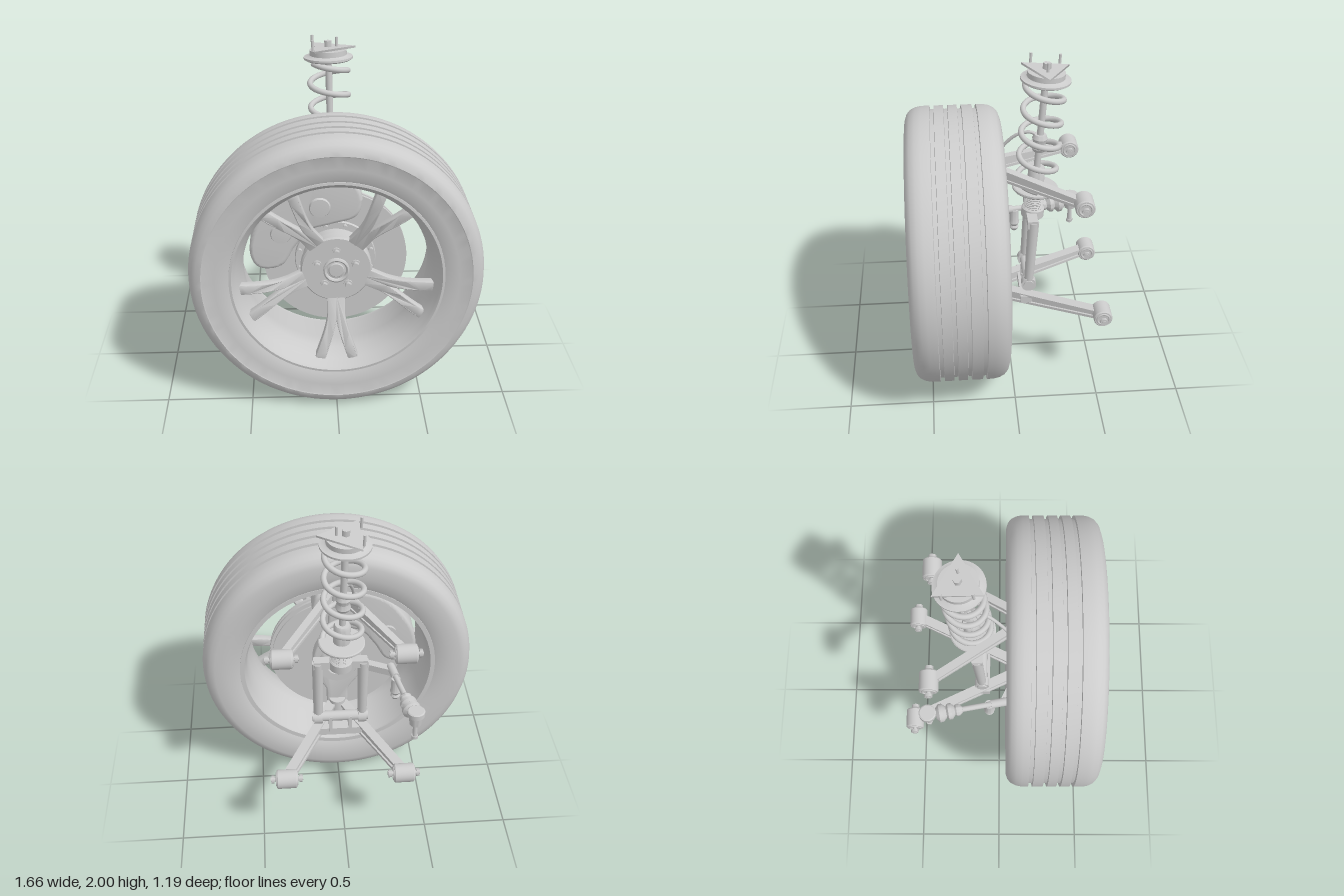
import * as THREE from 'three';
import { toCreasedNormals } from 'three/addons/utils/BufferGeometryUtils.js';

const V = (x, y, z) => new THREE.Vector3(x, y, z);
const UP = V(0, 1, 0);
const AXLE = 0.83;

export function createModel() {
  const root = new THREE.Group();
  const mat = new THREE.MeshStandardMaterial({ color: 0xcccccc });

  const add = (parent, name, geo, x = 0, y = 0, z = 0) => {
    const m = new THREE.Mesh(geo, mat);
    m.name = name;
    m.position.set(x, y, z);
    parent.add(m);
    return m;
  };
  const group = (name, parent = root) => {
    const g = new THREE.Group();
    g.name = name;
    parent.add(g);
    return g;
  };
  // Turned part about y; profile is [radius, height] pairs, outside going up
  const turned = (pts, seg = 32) =>
    toCreasedNormals(new THREE.LatheGeometry(pts.map(p => new THREE.Vector2(...p)), seg), 0.6);
  const turnedZ = (pts, seg) => turned(pts, seg).rotateX(Math.PI / 2);
  const cyl = (r, h, seg = 24, r2 = r) => new THREE.CylinderGeometry(r2, r, h, seg);
  const cylZ = (r, h, seg) => cyl(r, h, seg).rotateX(Math.PI / 2);
  const cylX = (r, h, seg) => cyl(r, h, seg).rotateZ(Math.PI / 2);
  // Round bar from a to b
  const rod = (parent, name, a, b, r, r2 = r) => {
    const d = b.clone().sub(a);
    const m = add(parent, name, cyl(r, d.length(), 20, r2), ...a.clone().lerp(b, 0.5));
    m.quaternion.setFromUnitVectors(UP, d.normalize());
    return m;
  };
  // Square bar from a to b
  const beam = (parent, name, a, b, w, h) => {
    const m = add(parent, name, new THREE.BoxGeometry(w, h, a.distanceTo(b)), ...a.clone().lerp(b, 0.5));
    m.lookAt(b);
    return m;
  };
  const outline = pts => {
    const s = new THREE.Shape();
    const v = pts.map(p => new THREE.Vector2(...p));
    s.moveTo(v[0].x, v[0].y);
    s.splineThru([...v.slice(1), v[0]]);
    return s;
  };
  const slab = (shape, depth, bevel) => toCreasedNormals(new THREE.ExtrudeGeometry(shape, {
    depth: depth - 2 * bevel, bevelSize: bevel, bevelThickness: bevel, bevelSegments: 3, curveSegments: 8,
  }), 0.6);

  // ---- Wheel ----
  const wheel = group('wheel');
  wheel.position.y = AXLE;
  const tread = [];
  for (const z of [0.187, 0.275, 0.355, 0.435])
    tread.push([0.83, z - 0.013], [0.808, z - 0.011], [0.808, z + 0.011], [0.83, z + 0.013]);
  add(wheel, 'tyre', turnedZ([
    [0.585, 0.07], [0.62, 0.052], [0.68, 0.042], [0.755, 0.04], [0.785, 0.05], [0.808, 0.07], [0.823, 0.1],
    [0.83, 0.135], ...tread, [0.83, 0.5], [0.823, 0.535], [0.808, 0.565], [0.785, 0.585], [0.755, 0.595],
    [0.75, 0.592], [0.68, 0.592], [0.62, 0.582], [0.585, 0.565], [0.585, 0.07]], 112));
  add(wheel, 'rimBarrel', turnedZ([
    [0.575, 0.058], [0.602, 0.058], [0.605, 0.075], [0.588, 0.09], [0.588, 0.54], [0.605, 0.555], [0.602, 0.578],
    [0.588, 0.58], [0.575, 0.565], [0.565, 0.54], [0.548, 0.52], [0.53, 0.42], [0.53, 0.33],
    [0.555, 0.27], [0.56, 0.11], [0.575, 0.075], [0.575, 0.058]], 96));

  // Five forked spokes, dished towards the hub
  const spokes = group('spokes', wheel);
  for (let i = 0; i < 5; i++) {
    for (const s of [-1, 1]) {
      const prong = new THREE.Shape();
      prong.moveTo(0.16, 0);
      prong.lineTo(0.28, 0);
      prong.bezierCurveTo(0.36, s * 0.008, 0.44, s * 0.04, 0.56, s * 0.075);
      prong.lineTo(0.55, s * 0.122);
      prong.bezierCurveTo(0.45, s * 0.095, 0.38, s * 0.055, 0.28, s * 0.044);
      prong.lineTo(0.16, s * 0.046);
      const geo = new THREE.ExtrudeGeometry(prong, {
        depth: 0.035, bevelSize: 0.006, bevelThickness: 0.008, bevelSegments: 2, curveSegments: 12,
      });
      const p = geo.attributes.position;
      for (let k = 0; k < p.count; k++) {
        const t = THREE.MathUtils.clamp((Math.hypot(p.getX(k), p.getY(k)) - 0.2) / 0.35, 0, 1);
        p.setZ(k, p.getZ(k) + 0.39 + 0.09 * Math.sin(t * Math.PI / 2));
      }
      geo.computeVertexNormals();
      add(spokes, 'spokeProng', toCreasedNormals(geo, 0.6)).rotation.z = (-90 + i * 72) * Math.PI / 180;
    }
  }

  // Hub, lug nuts and centre cap
  const hub = group('hub', wheel);
  add(hub, 'hubFace', turnedZ([[0, 0.37], [0.195, 0.37], [0.203, 0.38], [0.203, 0.43], [0.195, 0.44], [0, 0.44]], 48));
  add(hub, 'centreCap', turnedZ([[0.075, 0.43], [0.075, 0.455], [0.066, 0.46], [0.058, 0.455], [0.055, 0.444], [0.045, 0.446], [0.04, 0.452], [0, 0.453]], 40));
  for (let i = 0; i < 5; i++) {
    const a = Math.PI / 2 + i * Math.PI * 0.4;
    const x = 0.115 * Math.cos(a), y = 0.115 * Math.sin(a);
    add(hub, 'lugSeat', cylZ(0.026, 0.012), x, y, 0.443);
    add(hub, 'lugNut', cylZ(0.02, 0.035, 6), x, y, 0.455);
  }

  // ---- Brake ----
  const brake = group('brake', wheel);
  add(brake, 'brakeDisc', turnedZ([
    [0.2, 0.235], [0.415, 0.235], [0.415, 0.252], [0.4, 0.254], [0.4, 0.268], [0.415, 0.27], [0.415, 0.287],
    [0.235, 0.287], [0.23, 0.3], [0.19, 0.3], [0.19, 0.375], [0, 0.375]], 80));
  add(brake, 'splashShield', cylZ(0.4, 0.012, 64), 0, 0, 0.215);
  for (let i = 0; i < 12; i++) {
    const a = (i + 0.5) * Math.PI / 6;
    add(brake, 'discBolt', cylZ(0.013, 0.03, 10), 0.213 * Math.cos(a), 0.213 * Math.sin(a), 0.307);
  }
  const caliperShape = outline([[0.13, 0.4], [0.1, 0.47], [0, 0.485], [-0.16, 0.475], [-0.29, 0.42], [-0.38, 0.32],
    [-0.45, 0.2], [-0.47, 0.08], [-0.43, 0.0], [-0.32, 0.01], [-0.25, 0.12], [-0.16, 0.23], [-0.03, 0.27], [0.1, 0.31]]);
  add(brake, 'caliper', slab(caliperShape, 0.23, 0.02), 0, 0, 0.165);
  for (const [x, y] of [[-0.31, 0.2], [-0.09, 0.36]]) {
    add(brake, 'pistonBossFront', turnedZ([[0.062, 0], [0.055, 0.015], [0, 0.018]], 32), x, y, 0.373);
    add(brake, 'pistonBossRear', cylZ(0.055, 0.03), x, y, 0.14);
  }

  // ---- Knuckle ----
  const knuckle = group('knuckle');
  const upright = outline([[0.04, 0.46], [-0.04, 0.46], [-0.05, 0.25], [-0.13, 0.08], [-0.13, -0.08], [-0.06, -0.2],
    [-0.045, -0.33], [0.045, -0.33], [0.06, -0.2], [0.13, -0.08], [0.13, 0.08], [0.05, 0.25]]);
  upright.holes.push(new THREE.Path().absarc(0, 0, 0.07, 0, Math.PI * 2, true));
  add(knuckle, 'upright', slab(upright, 0.08, 0.012), 0, AXLE, 0.132);
  add(knuckle, 'bearingHousing', turnedZ([[0.065, 0.09], [0.115, 0.09], [0.12, 0.1], [0.12, 0.21], [0.065, 0.21], [0.065, 0.09]], 40), 0, AXLE);
  add(knuckle, 'bearingBore', turnedZ([[0.03, 0.12], [0.05, 0.12], [0.05, 0.21], [0.03, 0.21], [0.03, 0.12]], 28), 0, AXLE);
  beam(knuckle, 'steeringArm', V(-0.08, 0.82, 0.15), V(-0.33, 0.82, 0.03), 0.05, 0.045);
  for (const y of [1.33, 0.5]) add(knuckle, 'ballJoint', cyl(0.05, 0.1), 0, y, 0.12);

  // ---- Control arms: two legs each, with bushings at the inner ends ----
  const controlArm = (name, apex, bushY, bushZ, w, h) => {
    const arm = group(name);
    for (const s of [-1, 1]) {
      const end = V(s * 0.345, bushY, bushZ);
      const start = V(s * 0.025, apex.y, apex.z);
      beam(arm, 'armWeb', start, end, w * 0.6, h * 0.6);
      for (const k of [-1, 1])
        beam(arm, 'armFlange', start.clone().setY(start.y + k * h * 0.4), end.clone().setY(bushY + k * h * 0.25), w, h * 0.22);
      add(arm, 'bushing', turned([[0, -0.06], [0.05, -0.06], [0.056, -0.053], [0.056, 0.053], [0.05, 0.06], [0, 0.06]])
        .rotateZ(Math.PI / 2), ...end);
      for (const k of [-1, 1]) {
        add(arm, 'bushingRing', new THREE.TorusGeometry(0.036, 0.006, 8, 28).rotateY(Math.PI / 2), end.x + k * 0.06, bushY, bushZ);
        add(arm, 'boltHead', cylX(0.024, 0.018, 6), end.x + k * 0.082, bushY, bushZ);
      }
      add(arm, 'bushingBolt', cylX(0.013, 0.19, 16), ...end);
    }
    return arm;
  };
  controlArm('upperArm', V(0, 1.35, 0.12), 1.28, -0.395, 0.045, 0.075);
  const lower = controlArm('lowerArm', V(0, 0.49, 0.13), 0.5, -0.535, 0.06, 0.075);
  beam(lower, 'crossPlate', V(-0.17, 0.495, -0.1), V(0.17, 0.495, -0.1), 0.08, 0.05);
  for (const s of [-1, 1]) add(lower, 'forkBracket', new THREE.BoxGeometry(0.02, 0.11, 0.07), s * 0.06, 0.555, -0.11);

  // ---- Spring strut, built upright then tilted ----
  const strut = group('strut');
  strut.position.set(0, 1.0, -0.14);
  strut.quaternion.setFromUnitVectors(UP, V(-0.022, 0.95, -0.072).normalize());
  add(strut, 'clampCollar', turned([[0, 0], [0.06, 0], [0.068, 0.008], [0.068, 0.06], [0.06, 0.068], [0, 0.068]]));
  const threads = [[0, 0.06]];
  for (let i = 0; i < 10; i++) threads.push([0.054, 0.065 + i * 0.012], [0.059, 0.071 + i * 0.012]);
  add(strut, 'threadedBody', turned([...threads, [0.055, 0.19], [0, 0.19]]));
  add(strut, 'lowerSpringSeat', turned([[0, 0.165], [0.075, 0.165], [0.08, 0.182], [0.13, 0.185], [0.136, 0.192], [0.136, 0.203], [0.13, 0.208], [0, 0.208]], 48));
  add(strut, 'damperBody', turned([[0.05, 0.2], [0.05, 0.32], [0.042, 0.335], [0, 0.335]]));
  add(strut, 'damperRod', cyl(0.02, 0.62), 0, 0.63, 0);
  add(strut, 'bumpStop', turned([[0, 0.44], [0.035, 0.44], [0.045, 0.46], [0.036, 0.49], [0.045, 0.52], [0.035, 0.545], [0, 0.545]]));
  class Helix extends THREE.Curve {
    getPoint(t, out = V(0, 0, 0)) {
      const a = t * 4.4 * Math.PI * 2;
      return out.set(0.112 * Math.cos(a), 0.222 + 0.64 * t, 0.112 * Math.sin(a));
    }
  }
  add(strut, 'coilSpring', new THREE.TubeGeometry(new Helix(), 220, 0.017, 12));
  add(strut, 'upperSpringSeat', turned([[0, 0.87], [0.13, 0.87], [0.143, 0.878], [0.143, 0.89], [0.115, 0.895],
    [0.108, 0.9], [0.108, 0.93], [0, 0.935]], 48));
  add(strut, 'topPlate', cyl(0.158, 0.012, 3).rotateY(Math.PI / 2).toNonIndexed(), 0, 0.94, 0);
  add(strut, 'topNut', cyl(0.024, 0.035, 6), 0, 0.963, 0);
  for (const [x, z] of [[0.05, 0], [-0.09, 0.083], [-0.09, -0.083]])
    add(strut, 'mountStud', cyl(0.008, 0.065, 12), x, 0.967, z);

  // Fork from strut to lower arm
  const fork = group('strutFork');
  beam(fork, 'forkYoke', V(-0.16, 1.03, -0.13), V(0.16, 1.03, -0.13), 0.06, 0.05);
  for (const s of [-1, 1]) {
    rod(fork, 'forkLeg', V(s * 0.135, 1.04, -0.135), V(s * 0.135, 0.61, -0.11), 0.034, 0.028);
    add(fork, 'forkEye', cylX(0.045, 0.05), s * 0.135, 0.6, -0.11);
  }
  add(fork, 'forkCrossTube', cylX(0.032, 0.34), 0, 0.6, -0.11);

  // ---- Steering tie rod ----
  const tie = group('tieRod');
  const outer = V(-0.325, 0.835, 0.06), inner = V(-0.415, 0.83, -0.43);
  const at = t => outer.clone().lerp(inner, t);
  rod(tie, 'rodSleeve', at(0), at(0.22), 0.026);
  rod(tie, 'rodShaft', at(0.2), at(0.95), 0.017);
  const boot = add(tie, 'bellows', turned([[0, -0.09], [0.022, -0.085], [0.036, -0.065], [0.036, -0.05], [0.028, -0.04],
    [0.05, -0.02], [0.05, 0.0], [0.034, 0.012], [0.056, 0.035], [0.056, 0.055], [0.035, 0.075], [0, 0.08]]), ...at(0.75));
  boot.quaternion.setFromUnitVectors(UP, inner.clone().sub(outer).normalize());
  add(tie, 'jointSocket', turned([[0, -0.04], [0.035, -0.04], [0.042, 0.02], [0.052, 0.025], [0.052, 0.055], [0.045, 0.06], [0, 0.06]]), ...inner);
  add(tie, 'jointStud', cyl(0.014, 0.14, 16), inner.x, 0.745, inner.z);
  add(tie, 'studNut', cyl(0.021, 0.02, 6), inner.x, 0.69, inner.z);
  add(tie, 'outerBoot', turned([[0, 0.68], [0.018, 0.68], [0.03, 0.7], [0.022, 0.715], [0.034, 0.735], [0.028, 0.76], [0.028, 0.83], [0, 0.83]]), -0.345, 0, -0.06);

  // ---- Brake hose ----
  add(root, 'brakeHose', new THREE.TubeGeometry(new THREE.CatmullRomCurve3([
    V(-0.12, 1.2, 0.15), V(-0.1, 1.34, 0.08), V(-0.08, 1.45, 0.02), V(-0.05, 1.53, -0.06), V(-0.02, 1.55, -0.14),
    V(-0.02, 1.5, -0.17)]), 40, 0.01, 10));

  return root;
}
